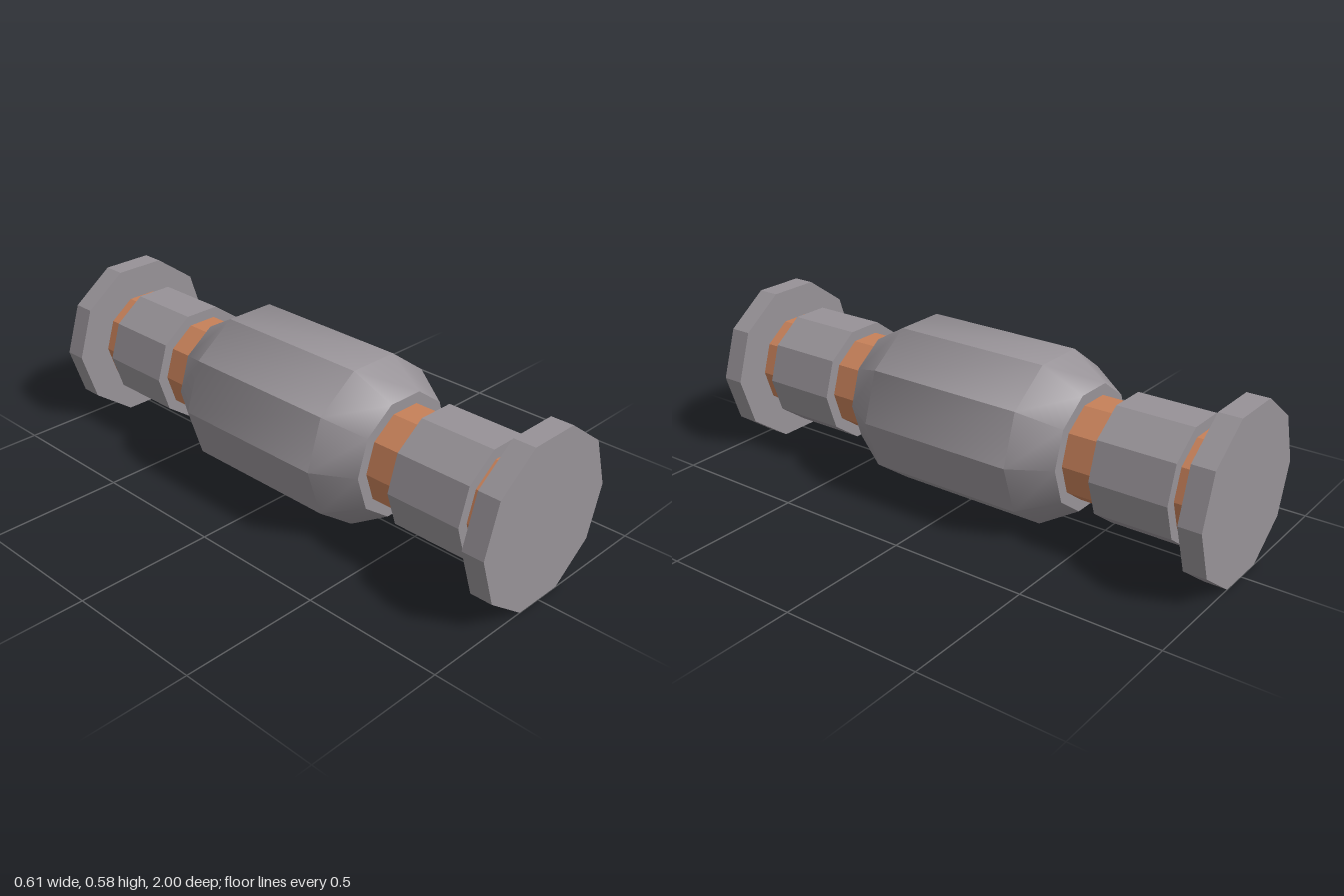
import * as THREE from 'three';
import { toCreasedNormals } from 'three/addons/utils/BufferGeometryUtils.js';

const SIDES = 10;
const TURN = Math.PI / SIDES; // puts corners on the left and right, flats on top and bottom
const AXIS_HEIGHT = 0.29;

export function createModel() {
  const steel = new THREE.MeshStandardMaterial({ color: 0x979297 });
  steel.name = 'steelGrey';
  const copper = new THREE.MeshStandardMaterial({ color: 0xc68059 });
  copper.name = 'copper';

  const model = new THREE.Group();
  model.name = 'coupling';

  // Adds a part along the z axis
  function add(name, geometry, material, z = 0) {
    geometry.rotateX(Math.PI / 2);
    const mesh = new THREE.Mesh(toCreasedNormals(geometry, 0.575), material);
    mesh.name = name;
    mesh.position.set(0, AXIS_HEIGHT, z);
    model.add(mesh);
  }
  const prism = (radius, length) =>
    new THREE.CylinderGeometry(radius, radius, length, SIDES, 1, false, TURN);

  // Copper rod running through the whole length
  add('coreRod', prism(0.18, 1.9), copper);

  // Central body with tapered ends, open where the rod passes through
  const profile = [
    [0.1, -0.435], [0.22, -0.435], [0.305, -0.295],
    [0.305, 0.295], [0.22, 0.435], [0.1, 0.435],
  ].map(([r, y]) => new THREE.Vector2(r, y));
  add('centralBody', new THREE.LatheGeometry(profile, SIDES, TURN), steel);

  // Collar and end flange on each side
  for (const [end, s] of [['front', 1], ['back', -1]]) {
    add(end + 'Collar', prism(0.22, 0.28), steel, s * 0.7);
    add(end + 'Flange', prism(0.305, 0.08), steel, s * 0.96);
  }
  return model;
}
